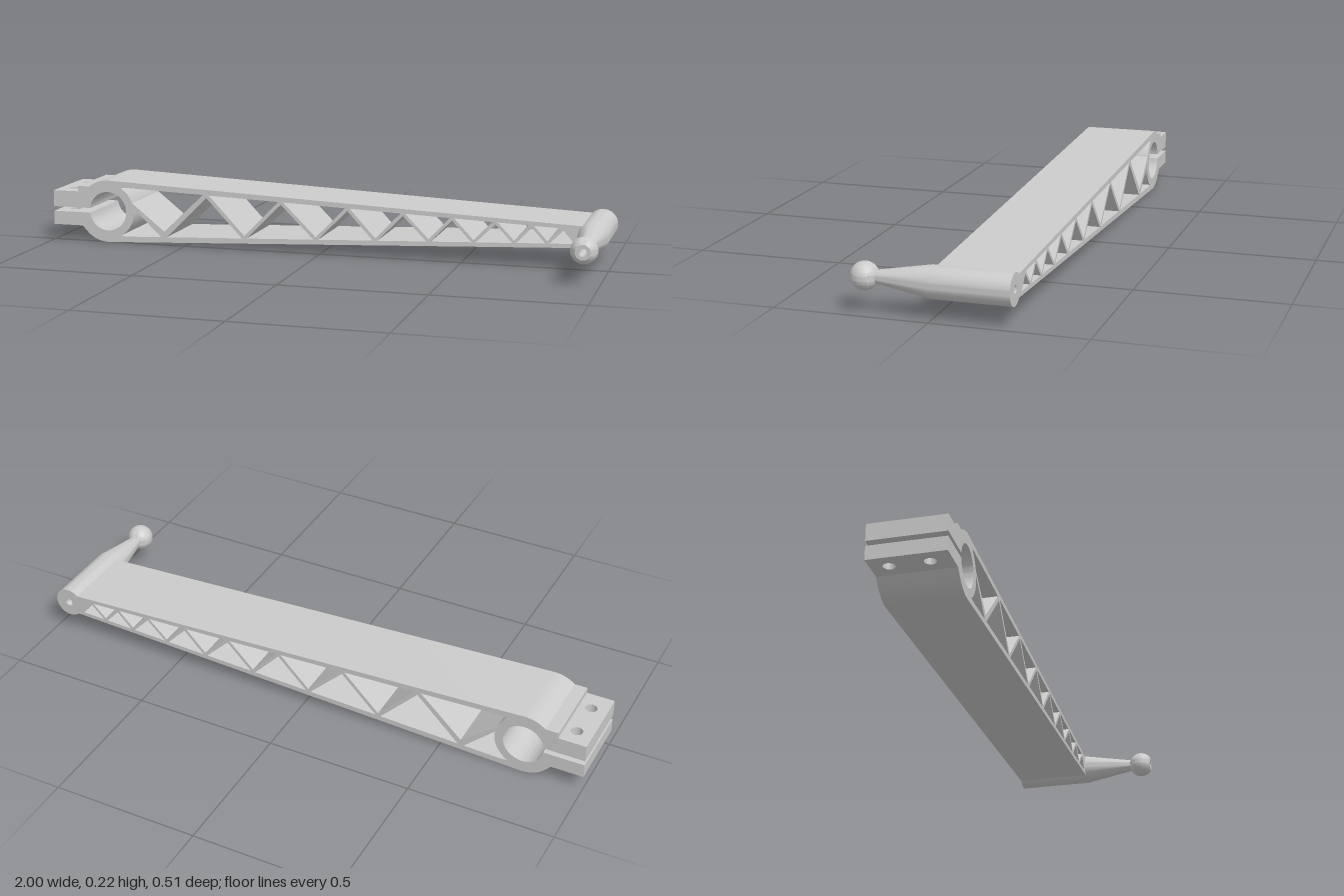
import * as THREE from 'three';
import { toCreasedNormals } from 'three/addons/utils/BufferGeometryUtils.js';

const BACK = -0.255, FRONT = 0.005, DEPTH = FRONT - BACK;
const CY = 0.113;            // mid height of the whole arm
const BORE_X = -0.79;        // clamp bore centre
const TIP_X = 0.946;         // ball stud axis
const rad = THREE.MathUtils.degToRad;

// half height of the tapering arm, outside and inside its flanges
const outer = x => 0.112 - 0.0443 * (x + 0.785);
const inner = x => outer(x) - (0.0175 - 0.0042 * x);

export function createModel() {
  const model = new THREE.Group();
  const material = new THREE.MeshStandardMaterial({ color: 0xcccccc });
  const add = (name, geometry) => {
    const mesh = new THREE.Mesh(toCreasedNormals(geometry, 0.45), material);
    mesh.name = name;
    model.add(mesh);
    return mesh;
  };

  // arm outline: clamp ring with slit and bore, tapering to the tip
  const slit = 0.0085, bore = 0.07, a = Math.asin(slit / bore);
  const arm = new THREE.Shape();
  arm.moveTo(-0.905, CY - slit);
  arm.lineTo(-0.905, 0.056);
  arm.lineTo(-0.89, 0.056);
  arm.absarc(BORE_X, CY, 0.112, rad(-132), rad(-87.5), false);
  arm.lineTo(0.915, CY - outer(0.915));
  arm.lineTo(0.915, CY + outer(0.915));
  arm.absarc(BORE_X, CY, 0.112, rad(87.5), rad(129), false);
  arm.lineTo(-0.905, 0.2);
  arm.lineTo(-0.905, CY + slit);
  arm.absarc(BORE_X, CY, bore, Math.PI - a, -Math.PI + a, true);
  arm.closePath();

  // triangular truss openings between alternating nodes, bottom node first
  const nodes = [-0.575, -0.415, -0.275, -0.14, -0.013, 0.1, 0.2, 0.297, 0.388,
    0.468, 0.543, 0.618, 0.682, 0.741, 0.794, 0.848, 0.892];
  for (let i = 1; i < nodes.length - 1; i++) {
    const side = i % 2 ? 1 : -1;                 // chord holding the apex
    const s = 0.0085 - 0.002 * nodes[i];         // half strut, measured along x
    const [l, m, r] = [nodes[i - 1], nodes[i], nodes[i + 1]];
    const k = 2 * s / (r - l);
    const apex = new THREE.Vector2(m, CY + side * inner(m))
      .lerp(new THREE.Vector2((l + r) / 2, CY - side * inner((l + r) / 2)), k);
    arm.holes.push(new THREE.Path([
      new THREE.Vector2(l + s, CY - side * inner(l + s)),
      apex,
      new THREE.Vector2(r - s, CY - side * inner(r - s)),
    ]));
  }

  // two openings that follow the clamp ring
  const ring = 0.099;
  const upper = new THREE.Path();
  upper.absarc(BORE_X, CY, ring, rad(60), rad(20), true);
  upper.lineTo(-0.575, 0.05);
  upper.lineTo(-0.428, CY + inner(-0.428));
  upper.lineTo(-0.72, CY + inner(-0.72));
  upper.closePath();
  const lower = new THREE.Path();
  lower.absarc(BORE_X, CY, ring, rad(-60), rad(9), false);
  lower.lineTo(-0.587, CY - inner(-0.587));
  lower.lineTo(-0.72, CY - inner(-0.72));
  lower.closePath();
  arm.holes.push(upper, lower);

  const armGeometry = new THREE.ExtrudeGeometry(arm, { depth: DEPTH, bevelEnabled: false, curveSegments: 32 });
  add('trussArm', armGeometry.translate(0, 0, BACK));

  // clamp tabs with two bolt holes each
  const tab = new THREE.Shape();
  tab.moveTo(-1, -FRONT);
  tab.lineTo(-0.905, -FRONT);
  tab.lineTo(-0.905, -BACK);
  tab.lineTo(-1, -BACK);
  tab.closePath();
  for (const z of [-0.195, -0.065]) {
    tab.holes.push(new THREE.Path().absarc(-0.945, -z, 0.02, 0, Math.PI * 2, true));
  }
  for (const [name, y0, y1] of [['lowerClampTab', 0.056, CY - slit], ['upperClampTab', CY + slit, 0.18]]) {
    const geometry = new THREE.ExtrudeGeometry(tab, { depth: y1 - y0, bevelEnabled: false, curveSegments: 20 });
    add(name, geometry.rotateX(-Math.PI / 2).translate(0, y0, 0));
  }

  // ball stud: boss, taper and flat-ended ball around a through hole
  const hole = 0.013, ballZ = 0.22, ballR = 0.045;
  const profile = [[hole, BACK], [0.052, BACK], [0.052, FRONT]];
  const from = rad(-62), to = Math.asin(0.037 / ballR);
  for (let i = 0; i <= 20; i++) {
    const t = from + (to - from) * i / 20;
    profile.push([ballR * Math.cos(t), ballZ + ballR * Math.sin(t)]);
  }
  profile.push([hole, 0.257], [hole, BACK]);
  const stud = new THREE.LatheGeometry(profile.map(p => new THREE.Vector2(...p)), 48);
  add('ballStud', stud.rotateX(Math.PI / 2)).position.set(TIP_X, CY, 0);

  return model;
}
